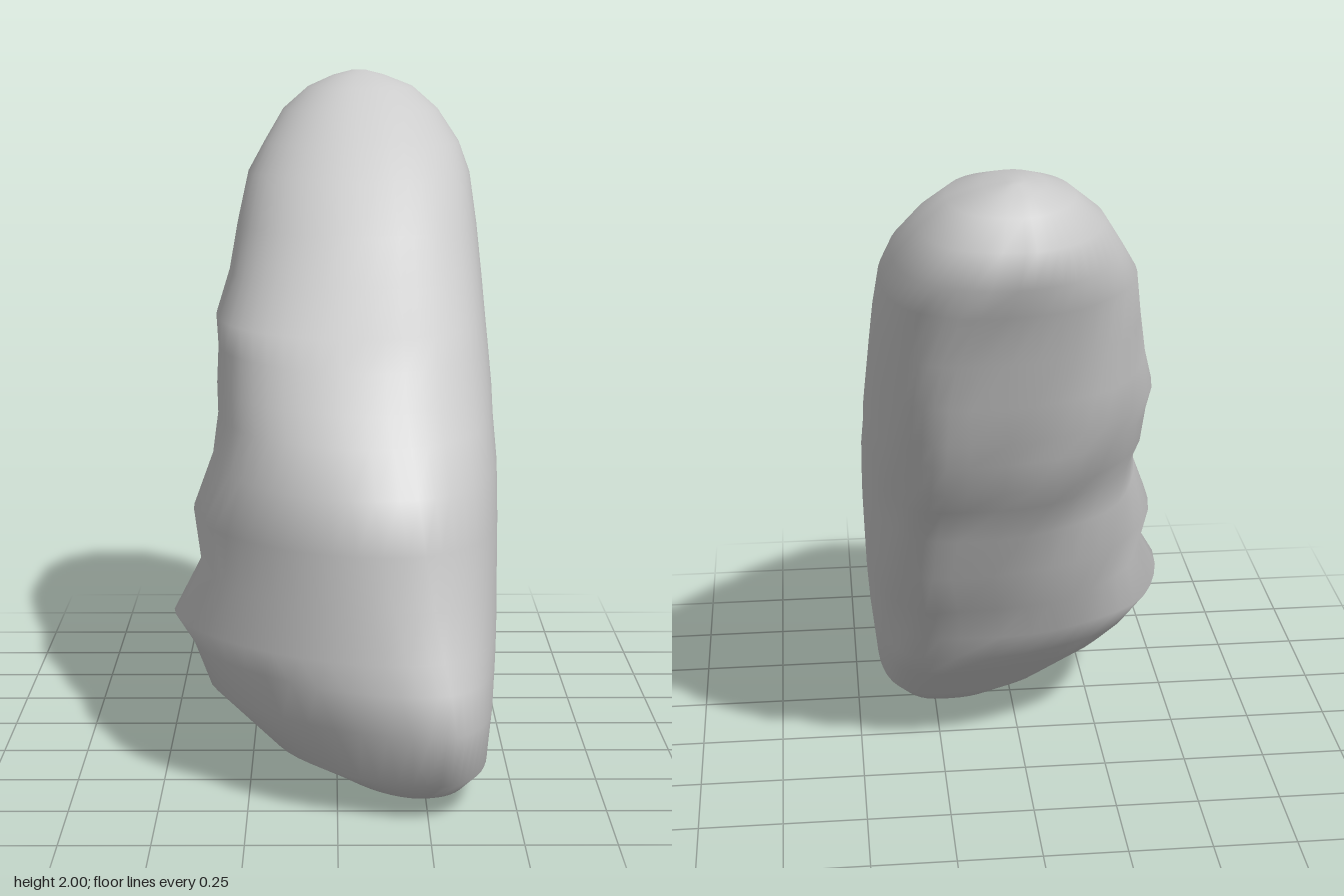
import * as THREE from 'three';

const { smoothstep } = THREE.MathUtils;

// Horizontal slices: y, front z, back z, right x, left x, x of the ridge line
const slices = [
  [0.0, 0.46, 0.33, 0.16, 0.28, 0.22],
  [0.04, 0.76, 0.14, -0.02, 0.38, 0.22],
  [0.11, 0.86, 0.05, -0.18, 0.43, 0.24],
  [0.27, 0.93, -0.12, -0.37, 0.445, 0.25],
  [0.38, 0.91, -0.23, -0.42, 0.455, 0.22],
  [0.46, 0.89, -0.26, -0.475, 0.46, 0.19],
  [0.60, 0.86, -0.35, -0.40, 0.465, 0.15],
  [0.75, 0.845, -0.44, -0.425, 0.47, 0.12],
  [0.90, 0.83, -0.51, -0.365, 0.47, 0.10],
  [1.02, 0.71, -0.58, -0.355, 0.465, 0.09],
  [1.10, 0.64, -0.64, -0.36, 0.465, 0.08],
  [1.20, 0.53, -0.69, -0.36, 0.46, 0.08],
  [1.28, 0.45, -0.725, -0.37, 0.455, 0.08],
  [1.40, 0.27, -0.77, -0.33, 0.45, 0.08],
  [1.54, 0.14, -0.82, -0.31, 0.44, 0.08],
  [1.69, -0.04, -0.88, -0.28, 0.425, 0.07],
  [1.78, -0.14, -0.925, -0.23, 0.395, 0.07],
  [1.88, -0.29, -0.93, -0.17, 0.33, 0.07],
  [1.95, -0.40, -0.86, -0.09, 0.25, 0.07],
  [1.985, -0.52, -0.79, -0.01, 0.16, 0.07],
  [2.0, -0.64, -0.73, 0.05, 0.1, 0.075],
];
const SIDES = 48;

// Corner squareness of a slice: 2 is an ellipse, more is boxier
function squareness(y, onLeft, onFront) {
  const up = smoothstep(y, 0.4, 1.2);
  if (onLeft && onFront) return 2.7 - 0.5 * up;
  if (onLeft) return 2.8;
  if (onFront) return 1.6 + 0.2 * smoothstep(y, 0.3, 0.6) + 0.35 * up;
  return 2.4 - 0.5 * smoothstep(y, 1.3, 1.8);
}

// Rounded outline point, lumpy on the right and back
function outlinePoint([y, front, back, right, left, ridge], a) {
  const c = Math.cos(a), s = Math.sin(a);
  const n = squareness(y, c > 0, s > 0);
  // The back ridge of the middle part runs closer to the left face
  const cx = ridge + (s < 0 ? 0.12 * smoothstep(y, 0.4, 0.8) * (1 - smoothstep(y, 1.4, 1.9)) : 0);
  const cz = (front + back) / 2, depth = (front - back) / 2;
  const rough = Math.max(0, -s * 0.8 - c * 0.3) * Math.min(1, y * 3, (2 - y) * 3);
  const k = 1 + 0.02 * rough * Math.sin(y * 19 + a * 5) * Math.cos(a * 4 - y * 7);
  const rx = c > 0 ? left - cx : cx - right;
  return [
    cx + k * rx * Math.sign(c) * Math.abs(c) ** (2 / n),
    y,
    cz + k * depth * Math.sign(s) * Math.abs(s) ** (2 / n),
  ];
}

function stoneGeometry() {
  const pos = [], index = [];
  for (const slice of slices) {
    for (let i = 0; i < SIDES; i++) pos.push(...outlinePoint(slice, (i / SIDES) * Math.PI * 2));
  }
  // Skin between neighbouring slices
  for (let j = 0; j < slices.length - 1; j++) {
    for (let i = 0; i < SIDES; i++) {
      const n = (i + 1) % SIDES;
      const a = j * SIDES + i, b = j * SIDES + n, c = a + SIDES, d = b + SIDES;
      index.push(a, c, b, b, c, d);
    }
  }
  // Close the bottom and the tip
  const bottom = pos.length / 3, tip = bottom + 1, last = (slices.length - 1) * SIDES;
  pos.push(0.22, 0, 0.39, 0.075, 2, -0.69);
  for (let i = 0; i < SIDES; i++) {
    const n = (i + 1) % SIDES;
    index.push(bottom, i, n, tip, last + n, last + i);
  }
  const g = new THREE.BufferGeometry();
  g.setAttribute('position', new THREE.Float32BufferAttribute(pos, 3));
  g.setIndex(index);
  g.computeVertexNormals();
  return g;
}

export function createModel() {
  const group = new THREE.Group();
  group.name = 'leaningStone';
  const stone = new THREE.Mesh(stoneGeometry(), new THREE.MeshStandardMaterial({ color: 0xcccccc }));
  stone.name = 'stone';
  group.add(stone);
  return group;
}
